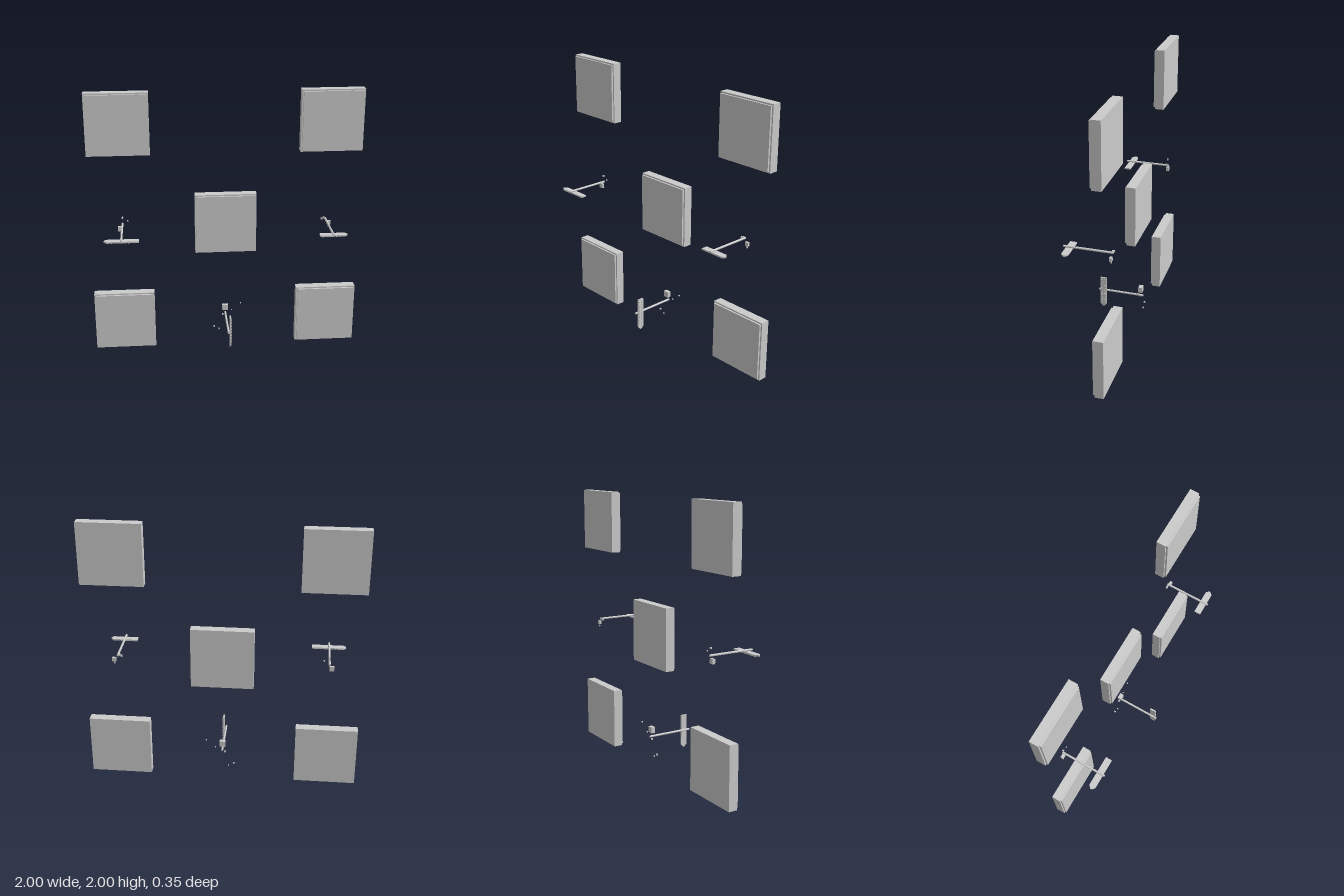
import * as THREE from 'three';

const material = new THREE.MeshStandardMaterial({ color: 0xcccccc, flatShading: true });

function add(parent, name, geometry, x = 0, y = 0, z = 0) {
  const mesh = new THREE.Mesh(geometry, material);
  mesh.name = name;
  mesh.position.set(x, y, z);
  parent.add(mesh);
  return mesh;
}

// Square block with a slightly smaller plate on its front
function panel(x, y) {
  const g = new THREE.Group();
  g.name = 'panel';
  add(g, 'panelBody', new THREE.BoxGeometry(0.456, 0.456, 0.066), 0, 0, -0.14);
  add(g, 'panelFace', new THREE.BoxGeometry(0.434, 0.434, 0.014), 0, 0, -0.101);
  g.position.set(x, y, 0);
  return g;
}

// Flat bar with a clipped tip on -x, crossing a rod that runs front to back
function pointer(name, x, y, tail, tip) {
  const g = new THREE.Group();
  g.name = name;
  const rod = add(g, 'rod', new THREE.CylinderGeometry(0.008, 0.008, 0.346, 8));
  rod.rotation.set(Math.PI / 2, Math.PI / 8, 0);

  const outline = new THREE.Shape([
    [tail, -0.024], [tail, 0.024], [tip + 0.02, 0.024],
    [tip, 0.006], [tip, -0.006], [tip + 0.02, -0.024],
  ].map(([a, b]) => new THREE.Vector2(a, b)));
  const bar = new THREE.ExtrudeGeometry(outline, { depth: 0.011, bevelEnabled: false });
  bar.rotateX(Math.PI / 2);
  add(g, 'bar', bar, 0, -0.009, 0.134);

  // Rows of small studs beneath the bar
  const count = Math.round((tail - tip) / 0.025) - 1;
  const stud = new THREE.BoxGeometry(0.012, 0.005, 0.012);
  for (let i = 0; i < count; i++) {
    for (const side of [-1, 1]) {
      add(g, 'stud', stud, tip + 0.03 + i * 0.025, -0.0215, 0.134 + side * 0.012);
    }
  }
  g.position.set(x, y, 0);
  return g;
}

export function createModel() {
  const model = new THREE.Group();
  model.name = 'panelSet';

  for (const [x, y] of [[-0.772, 1.772], [0.772, 1.772], [0, 1.002], [-0.772, 0.228], [0.772, 0.228]]) {
    model.add(panel(x, y));
  }

  // Three pointers: outward on each side, downward at the bottom
  model.add(pointer('rightPointer', -0.765, 1.0, 0.125, -0.125));
  const left = pointer('leftPointer', 0.757, 1.0, 0.092, -0.108);
  left.rotation.y = Math.PI;
  left.children.forEach((m) => { if (m.name !== 'rod') m.position.z -= 0.268; });
  model.add(left);
  const bottom = pointer('bottomPointer', 0, 0.235, 0.115, -0.135);
  bottom.rotation.z = Math.PI / 2;
  model.add(bottom);

  // Blocks at the rear ends of the rods
  for (const [x, y, s, d] of [[-0.782, 0.965, 0.034, 0.02], [0.785, 0.966, 0.028, 0.018], [-0.002, 0.288, 0.044, 0.03]]) {
    add(model, 'rearBlock', new THREE.BoxGeometry(s, s, d), x, y, -0.172 + d / 2);
  }

  // Loose chips scattered around the rear ends
  const chips = [
    [-0.763, 1.05, 0.012], [-0.725, 1.025, 0.008],
    [0.73, 0.997, 0.013], [0.745, 1.004, 0.012], [0.782, 0.939, 0.009],
    [0.12, 0.315, 0.009], [0.05, 0.258, 0.008], [-0.02, 0.22, 0.012],
    [-0.088, 0.12, 0.011], [-0.048, 0.095, 0.009],
  ];
  for (const [x, y, s] of chips) {
    add(model, 'chip', new THREE.BoxGeometry(s, s, s), x, y, -0.165);
  }
  return model;
}
